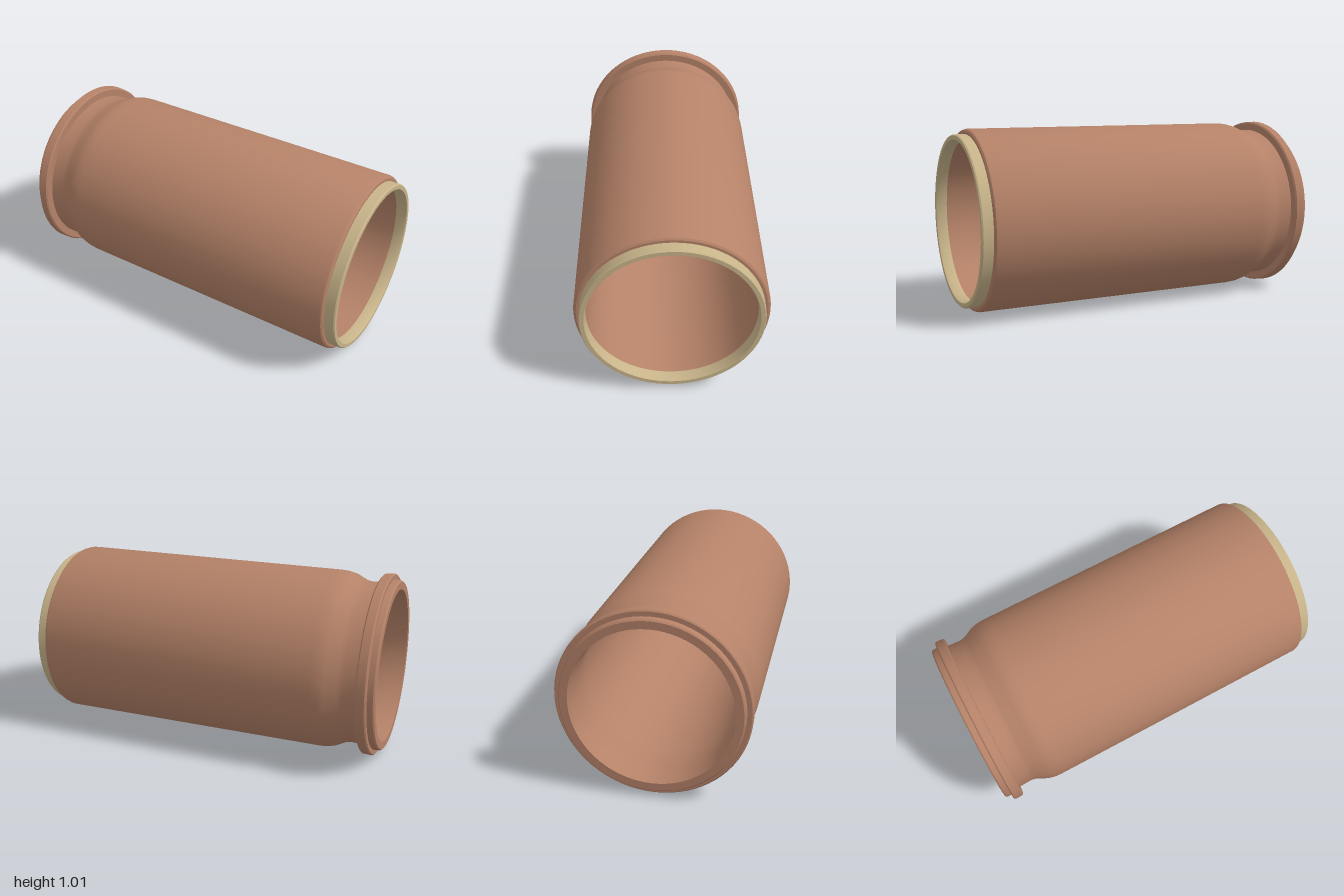
import * as THREE from 'three';
import { toCreasedNormals } from 'three/addons/utils/BufferGeometryUtils.js';

const CENTER_Y = 0.507;

// Revolves [x, radius] pairs around the horizontal x axis.
function ringPart(name, profile, material) {
  const points = profile.map(([x, r]) => new THREE.Vector2(r, x));
  const geometry = new THREE.LatheGeometry(points, 72);
  geometry.rotateZ(-Math.PI / 2);
  geometry.translate(0, CENTER_Y, 0);
  const mesh = new THREE.Mesh(toCreasedNormals(geometry, 0.6), material);
  mesh.name = name;
  return mesh;
}

export function createModel() {
  const copper = new THREE.MeshStandardMaterial({ name: 'copper brown', color: 0xb58268 });
  const cream = new THREE.MeshStandardMaterial({ name: 'cream', color: 0xc8b48a });
  const group = new THREE.Group();
  group.name = 'casing';

  // Hollow tube: rim, raised flange, groove, shoulder and long body, then back along the bore
  group.add(ringPart('casingBody', [
    [-1, 0.425], [-1, 0.466], [-0.993, 0.473],
    [-0.962, 0.475], [-0.962, 0.5], [-0.955, 0.507],
    [-0.912, 0.505], [-0.905, 0.497], [-0.905, 0.456],
    [-0.83, 0.453], [-0.80, 0.459], [-0.74, 0.489], [-0.70, 0.499], [-0.66, 0.502],
    [0.92, 0.502], [0.933, 0.498], [0.94, 0.488], [0.94, 0.44],
    [0.90, 0.438], [-0.66, 0.438], [-0.74, 0.432], [-0.83, 0.42], [-0.92, 0.42], [-1, 0.425],
  ], copper));

  // Exposed lip at the open mouth
  group.add(ringPart('mouthLip', [
    [0.938, 0.474], [0.993, 0.473], [1, 0.468],
    [1, 0.446], [0.993, 0.441], [0.938, 0.439],
  ], cream));

  return group;
}
